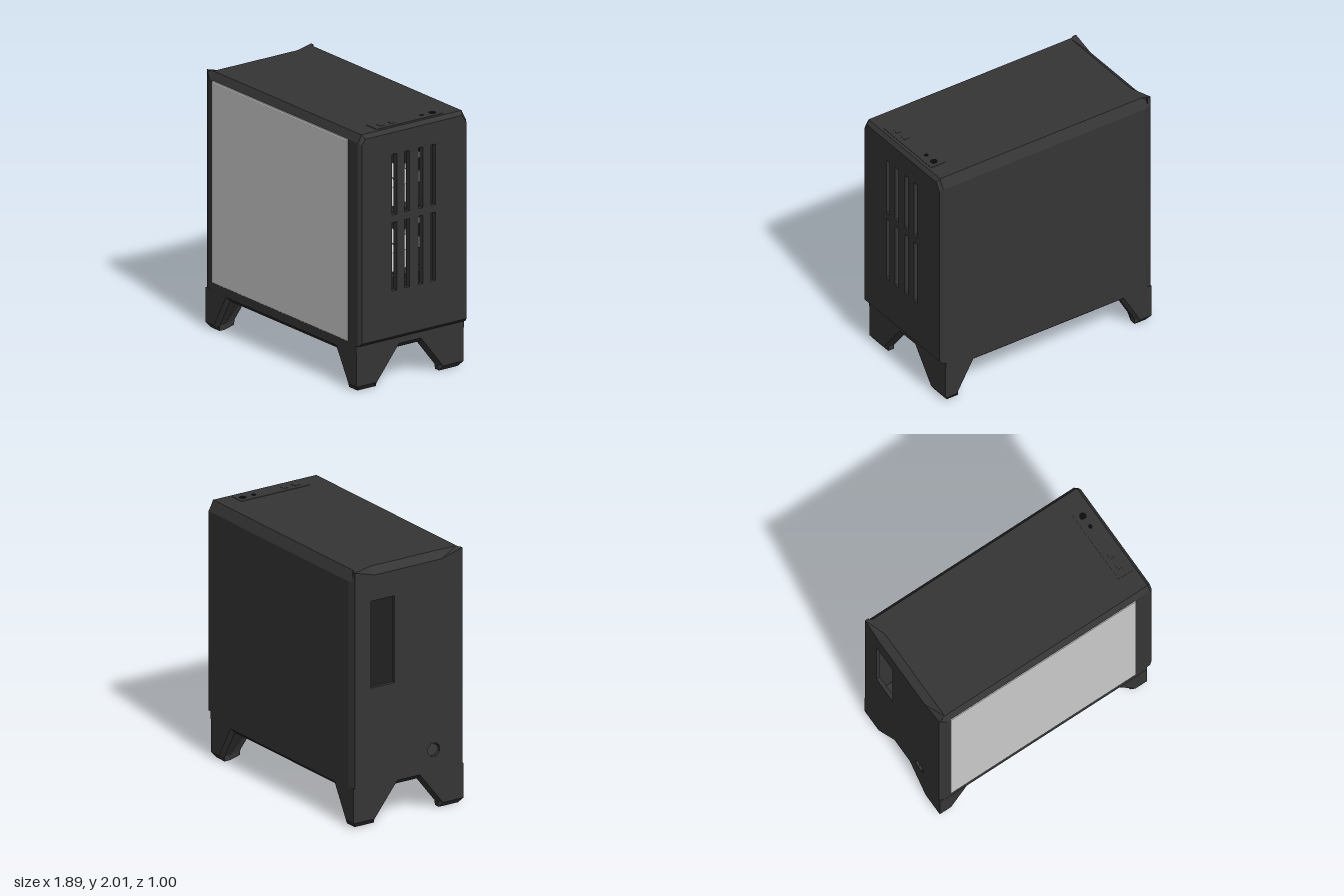
import * as THREE from 'three';

const dark = new THREE.MeshStandardMaterial({ color: 0x353535, flatShading: true, side: THREE.DoubleSide });
const black = new THREE.MeshStandardMaterial({ color: 0x0c0c0c });
const grey = new THREE.MeshStandardMaterial({ color: 0xcccccc, flatShading: true, side: THREE.DoubleSide });

// Skins a list of equal-length loops, counter-clockwise about the direction of travel
function loft(loops, caps) {
  const n = loops[0].length, idx = [], last = (loops.length - 1) * n;
  for (let i = 0; i + 1 < loops.length; i++) {
    for (let j = 0; j < n; j++) {
      const a = i * n + j, b = i * n + (j + 1) % n;
      idx.push(a, b, b + n, a, b + n, a + n);
    }
  }
  if (caps) for (let j = 1; j + 1 < n; j++) idx.push(0, j + 1, j, last, last + j, last + j + 1);
  const g = new THREE.BufferGeometry();
  g.setAttribute('position', new THREE.Float32BufferAttribute(loops.flat(2), 3));
  g.setIndex(idx);
  const flat = g.toNonIndexed();
  flat.computeVertexNormals();
  return flat;
}

// Extrudes a [z, y] outline with holes along x, from x0 to x1
function slab(outline, holes, x0, x1) {
  const pts = (list) => list.map(([z, y]) => new THREE.Vector2(-z, y));
  const shape = new THREE.Shape(pts(outline));
  for (const h of holes) shape.holes.push(new THREE.Path(pts(h)));
  const g = new THREE.ExtrudeGeometry(shape, { depth: x1 - x0, bevelEnabled: false });
  return g.rotateY(Math.PI / 2).translate(x0, 0, 0);
}

const rect = (z0, z1, y0, y1) => [[z0, y0], [z1, y0], [z1, y1], [z0, y1]];
const ngon = (z, y, r, n) => Array.from({ length: n }, (_, i) => {
  const a = (i + 0.5) / n * Math.PI * 2;
  return [z + r * Math.cos(a), y + r * Math.sin(a)];
});
const atX = (x, outline) => outline.map(([z, y]) => [x, y, z]);

export function createModel() {
  const model = new THREE.Group();
  const add = (name, geometry, material = dark, parent = model) => {
    const m = new THREE.Mesh(geometry, material);
    m.name = name;
    parent.add(m);
    return m;
  };

  // Hollow shell with chamfered long top edges
  const section = [[0.49, 0.3], [-0.5, 0.3], [-0.5, 1.92], [-0.46, 2], [-0.31, 2], [0.29, 2], [0.46, 2], [0.49, 1.94]];
  const inside = [[0.46, 0.36], [-0.47, 0.36], [-0.47, 1.91], [-0.44, 1.96], [0.44, 1.96], [0.46, 1.92]];
  add('shell', slab(section, [inside], -0.89, 0.89));

  // Rear end, where the top edge dips between two sharp corners
  const rear = [[0.475, 0.3], [-0.485, 0.3], [-0.485, 1.94], [-0.485, 2], [-0.31, 1.95], [0.29, 1.95], [0.475, 2], [0.475, 1.96]];
  add('rearRim', loft([atX(-0.95, rear), atX(-0.89, section)], false));
  const portWindow = rect(-0.34, -0.13, 1.07, 1.75);
  const socket = ngon(0.22, 0.47, 0.055, 8);
  add('rearWall', slab(rear, [portWindow, socket], -0.95, -0.92));

  // Vented end panel with chamfered rim, overhanging the base
  const outer = [[0.49, 0.36], [-0.5, 0.36], [-0.5, 1.92], [-0.46, 2], [0.46, 2], [0.49, 1.94]];
  const face = [[0.475, 0.385], [-0.485, 0.385], [-0.485, 1.91], [-0.445, 1.97], [0.445, 1.97], [0.475, 1.925]];
  add('ventRim', loft([atX(0.89, outer), atX(0.915, outer), atX(0.94, face)], false));
  const vents = [];
  for (const z of [0.175, 0.06, -0.065, -0.18]) {
    vents.push(rect(z - 0.021, z + 0.021, 0.74, 1.27), rect(z - 0.021, z + 0.021, 1.33, 1.8));
  }
  add('ventPanel', slab(face, vents, 0.9, 0.94));
  add('ventLedge', new THREE.BoxGeometry(0.03, 0.02, 0.97).translate(0.9, 0.372, -0.005));

  // Floor with a chamfered lower edge
  const floorLoop = (y, i) => [
    [-0.95 + i, y, 0.485 - i], [0.89 - i, y, 0.485 - i], [0.89 - i, y, -0.495 + i], [-0.95 + i, y, -0.495 + i]];
  add('floor', loft([floorLoop(0.26, 0.04), floorLoop(0.3, 0), floorLoop(0.31, 0)], true));

  // Tapered corner legs: inset foot, then widening up to the floor
  const legLoop = (y, w, d, i) => [
    [i, y, i], [w, y, i], [w + 0.03, y, Math.max(i, 0.03)], [w + 0.03, y, 0.08],
    [0.08, y, d + 0.02], [Math.max(i, 0.03), y, d + 0.02], [i, y, d]];
  const legLoops = [legLoop(0, 0.1, 0.18, 0.03), legLoop(0.04, 0.1, 0.185, 0), legLoop(0.3, 0.25, 0.39, 0)];
  for (const [cx, sx] of [[-0.95, 1], [0.89, -1]]) {
    for (const [cz, sz] of [[0.485, -1], [-0.495, 1]]) {
      const loops = legLoops.map((loop) => {
        const l = loop.map(([x, y, z]) => [cx + sx * x, y, cz + sz * z]);
        return sx * sz > 0 ? l.reverse() : l;
      });
      add('leg', loft(loops, true));
    }
  }

  // Front window panel with a small bevel
  const b = 0.01;
  const pane = new THREE.Shape([[-0.86 + b, 0.37 + b], [0.79 - b, 0.37 + b], [0.79 - b, 1.94 - b], [-0.86 + b, 1.94 - b]]
    .map(([x, y]) => new THREE.Vector2(x, y)));
  add('frontPane', new THREE.ExtrudeGeometry(pane, { depth: 0.01, bevelSize: b, bevelThickness: b, bevelSegments: 2 })
    .translate(0, 0, 0.48), grey);

  // Control strip on the top
  const controls = new THREE.Group();
  controls.name = 'controls';
  model.add(controls);
  add('controlStrip', new THREE.BoxGeometry(0.125, 0.01, 0.61).translate(0.828, 1.998, -0.005), dark, controls);
  for (const [z, r] of [[-0.255, 0.027], [-0.158, 0.016]]) {
    add('button', new THREE.CylinderGeometry(r, r, 0.01, 20).translate(0.828, 2, z), black, controls);
  }
  for (const z of [0.115, 0.215]) {
    add('port', new THREE.BoxGeometry(0.046, 0.01, 0.046).translate(0.828, 2, z), dark, controls);
  }

  // Two fans behind the vents
  for (const y of [1.55, 1.04]) {
    const fan = new THREE.Group();
    fan.name = 'fan';
    model.add(fan);
    add('fanFrame', slab(rect(-0.25, 0.25, y - 0.25, y + 0.25), [ngon(0, y, 0.24, 32)], 0.72, 0.82), dark, fan);
    add('fanHub', new THREE.CylinderGeometry(0.065, 0.065, 0.08, 24).rotateZ(Math.PI / 2).translate(0.77, y, 0), grey, fan);
    for (let i = 0; i < 7; i++) {
      const blade = new THREE.BoxGeometry(0.008, 0.17, 0.11).rotateY(0.5).translate(0, 0.145, 0);
      add('fanBlade', blade.rotateX(i / 7 * Math.PI * 2).translate(0.77, y, 0), grey, fan);
    }
  }
  return model;
}
